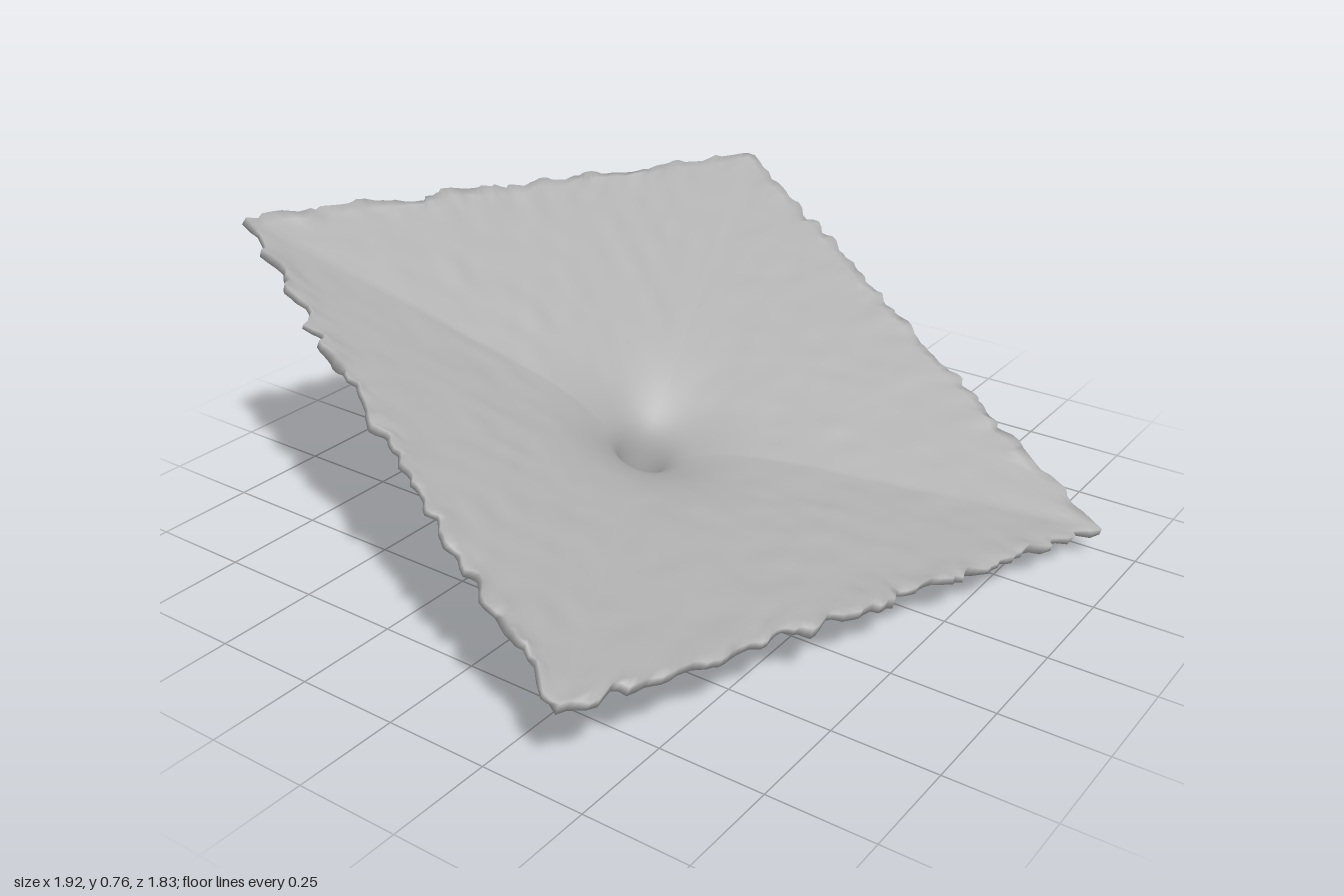
import * as THREE from 'three';

// repeatable smooth value noise, -1..1
const hash = (i, j) => {
  const s = Math.sin(i * 127.1 + j * 311.7) * 43758.5453;
  return (s - Math.floor(s)) * 2 - 1;
};
function noise(x, y) {
  const i = Math.floor(x), j = Math.floor(y);
  const u = THREE.MathUtils.smoothstep(x - i, 0, 1), v = THREE.MathUtils.smoothstep(y - j, 0, 1);
  const { lerp } = THREE.MathUtils;
  return lerp(lerp(hash(i, j), hash(i + 1, j), u), lerp(hash(i, j + 1), hash(i + 1, j + 1), u), v);
}

// closed wall section: up the underside, around the rim, down the inside
function wallSection(steps, thickness) {
  const outer = [[0.043, -0.425], [0.046, -0.40], [0.056, -0.34], [0.085, -0.262], [0.15, -0.205],
    [0.25, -0.15], [0.41, -0.096], [0.6, -0.046], [0.757, -0.006]];
  const curve = new THREE.CatmullRomCurve3(outer.map(([r, y]) => new THREE.Vector3(r, y, 0)));
  const under = [], inside = [];
  for (let k = 0; k <= steps; k++) {
    const p = curve.getPointAt(k / steps), t = curve.getTangentAt(k / steps);
    under.push({ r: p.x, y: p.y, side: -1 });
    inside.unshift({ r: p.x - t.y * thickness, y: p.y + t.x * thickness, side: 1 });
  }
  return [...under, ...inside];
}

// sweep the section round the axis, from a round stem to a square rim
function funnelGeometry(segments = 360) {
  const section = wallSection(44, 0.013), n = section.length;
  const pos = [], index = [];
  for (let i = 0; i < segments; i++) {
    const a = (i / segments) * Math.PI * 2, c = Math.cos(a), s = Math.sin(a);
    const square = 1 / Math.max(Math.abs(c), Math.abs(s));
    for (const { r, y, side } of section) {
      const blend = THREE.MathUtils.smoothstep(r, 0.06, 0.42);
      const rim = THREE.MathUtils.smoothstep(r, 0.69, 0.757);
      const R = r * (1 + (square - 1) * blend);
      const x = R * c, z = R * s;
      // ragged rim and faint dents on the sheet
      const lump = noise(x * 24 + 50, z * 24 + 50) + 0.6 * noise(x * 52, z * 52);
      const grow = 1 + rim * (0.006 + 0.021 * lump);
      const dent = 0.003 * noise(x * 20 + side * 9, z * 20) * blend;
      const swell = side * rim * 0.008 * (0.5 + noise(x * 30 + side * 7, z * 30));
      pos.push(x * grow, y + dent + swell, z * grow);
    }
  }
  for (let i = 0; i < segments; i++) {
    const i2 = (i + 1) % segments;
    for (let j = 0; j < n; j++) {
      const j2 = (j + 1) % n;
      const a = i * n + j, b = i * n + j2, c = i2 * n + j, d = i2 * n + j2;
      index.push(a, b, c, b, d, c);
    }
  }
  const g = new THREE.BufferGeometry();
  g.setAttribute('position', new THREE.Float32BufferAttribute(pos, 3));
  g.setIndex(index);
  g.computeVertexNormals();
  return g;
}

export function createModel() {
  const model = new THREE.Group();
  model.name = 'squareFunnel';
  const grey = new THREE.MeshStandardMaterial({ color: 0xb0b0b0 });
  grey.name = 'plain grey';

  const funnel = new THREE.Mesh(funnelGeometry(), grey);
  funnel.name = 'funnelSheetAndStem';

  // tilt the sheet and turn it about its axis
  const up = new THREE.Vector3(-0.06, 1, 0.41).normalize();
  const along = new THREE.Vector3(1.46, -0.12, 0.49).projectOnPlane(up).normalize();
  const across = new THREE.Vector3().crossVectors(along, up);
  funnel.quaternion.setFromRotationMatrix(new THREE.Matrix4().makeBasis(along, up, across));
  funnel.position.set(-0.005, 0.41, 0);
  model.add(funnel);
  return model;
}
